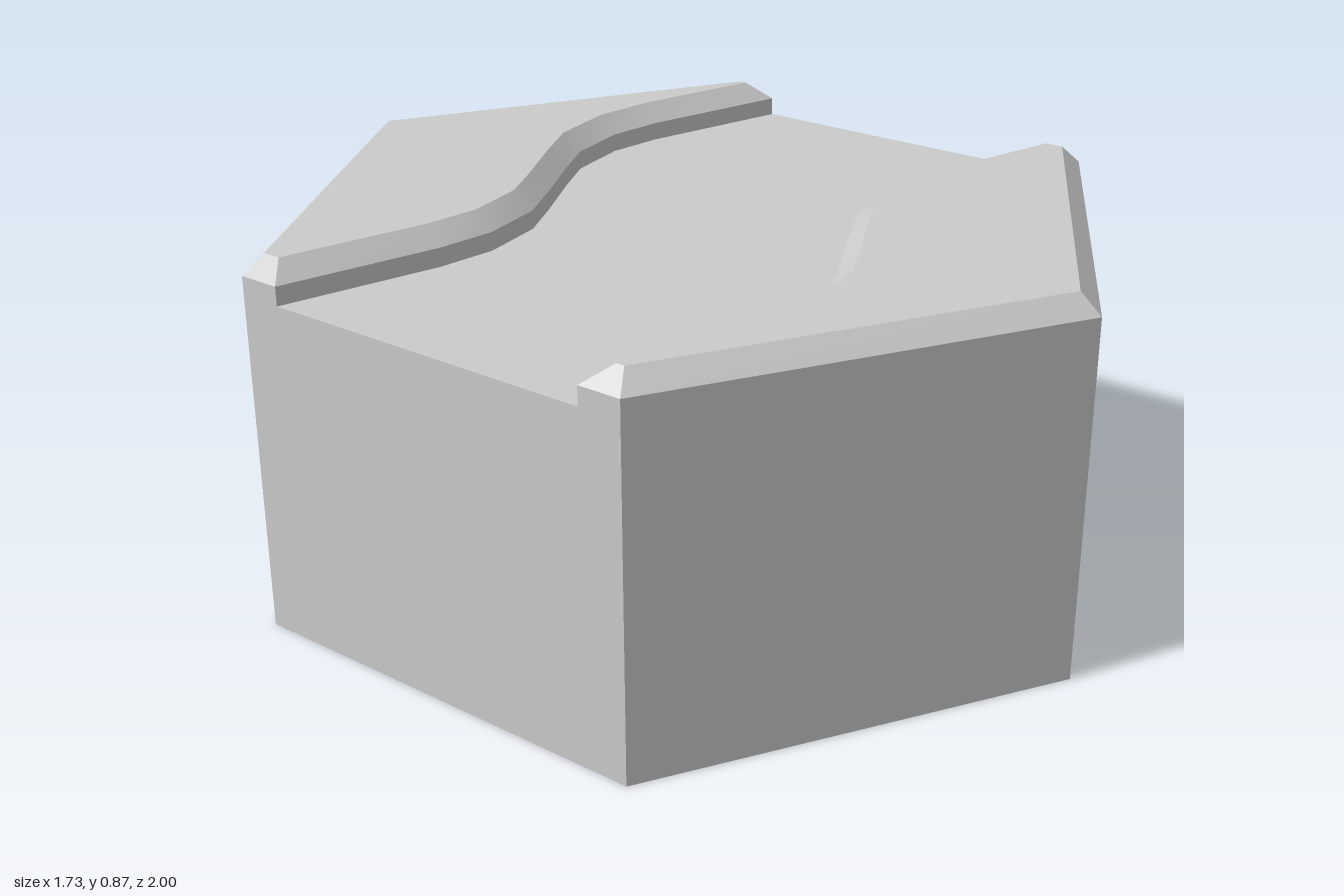
import * as THREE from 'three';
import { toCreasedNormals } from 'three/addons/utils/BufferGeometryUtils.js';

const HALF = Math.sqrt(3) / 2;               // half width across the flats
const FLOOR = 0.78, SHOULDER = 0.823, TOP = 0.866;
const BEVEL = 0.043;

// Move every corner of a counter-clockwise outline inwards by d (mitred).
function inset(points, d) {
  const n = points.length;
  return points.map((p, i) => {
    const a = p.clone().sub(points[(i + n - 1) % n]).normalize();
    const b = points[(i + 1) % n].clone().sub(p).normalize();
    const na = new THREE.Vector2(-a.y, a.x), nb = new THREE.Vector2(-b.y, b.x);
    return na.clone().add(nb).multiplyScalar(d / (1 + na.dot(nb))).add(p);
  });
}

// Raised bank: vertical wall, bevelled shoulder and flat top.
function bankGeometry() {
  // One half of the winding edge; the other half is its point reflection.
  const half = [[-HALF, 0], [-0.5, 0.104], [-0.36, 0.124], [-0.2, 0.1], [-0.08, 0.042]];
  const wave = [...half, ...half.map(([x, z]) => [-x, -z]).reverse()];
  const outline = wave.map(([x, z]) => new THREE.Vector2(x, 0.4 - z));
  outline.push(
    new THREE.Vector2(HALF, 0.5), new THREE.Vector2(0, 1), new THREE.Vector2(-HALF, 0.5));

  const top = inset(outline, BEVEL);
  const rings = [[outline, FLOOR], [outline, SHOULDER], [top, TOP]];
  const n = outline.length, positions = [], index = [];
  for (const [ring, y] of rings) for (const p of ring) positions.push(p.x, y, -p.y);
  for (let r = 0; r < 2; r++) {
    for (let i = 0; i < n; i++) {
      const a = r * n + i, b = r * n + (i + 1) % n;
      index.push(a, b, b + n, a, b + n, a + n);
    }
  }
  for (const face of THREE.ShapeUtils.triangulateShape(top, [])) {
    index.push(...face.map((i) => i + 2 * n));
  }
  const geometry = new THREE.BufferGeometry();
  geometry.setAttribute('position', new THREE.Float32BufferAttribute(positions, 3));
  geometry.setIndex(index);
  return toCreasedNormals(geometry, 0.5);
}

export function createModel() {
  const group = new THREE.Group();
  group.name = 'hexRiverTile';
  const material = new THREE.MeshStandardMaterial({ color: 0xcccccc });

  // Hexagonal block whose top is the channel floor
  const base = new THREE.Mesh(
    toCreasedNormals(new THREE.CylinderGeometry(1, 1, FLOOR, 6), 0.5), material);
  base.position.y = FLOOR / 2;
  base.name = 'base';
  group.add(base);

  // Two identical banks, half a turn apart
  const bank = bankGeometry();
  ['backBank', 'frontBank'].forEach((name, i) => {
    const mesh = new THREE.Mesh(bank, material);
    mesh.name = name;
    mesh.rotation.y = i * Math.PI;
    group.add(mesh);
  });
  return group;
}
